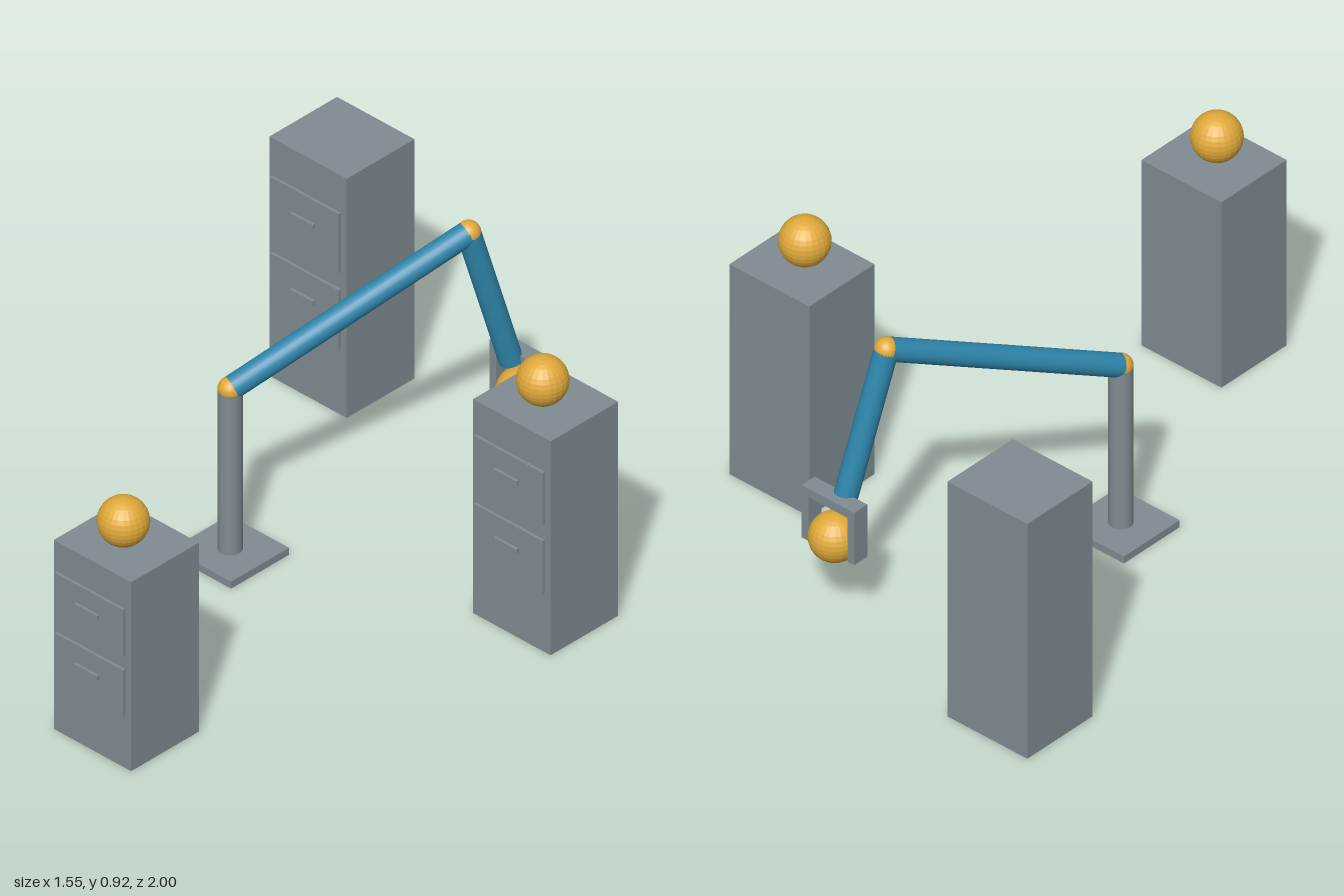
import * as THREE from 'three';

export function createModel() {
  const root = new THREE.Group();
  root.name = 'robotArmWithCabinets';

  const mat = (name, color) => {
    const m = new THREE.MeshStandardMaterial({ color });
    m.name = name;
    return m;
  };
  const gray = mat('steelGray', 0x7f8c92);
  const blue = mat('armBlue', 0x2e86ab);
  const gold = mat('ballGold', 0xe0a93a);
  gold.flatShading = false;

  const add = (parent, name, geo, material, x, y, z) => {
    const mesh = new THREE.Mesh(geo, material);
    mesh.name = name;
    mesh.position.set(x, y, z);
    parent.add(mesh);
    return mesh;
  };
  const box = (parent, name, w, h, d, x, y, z) =>
    add(parent, name, new THREE.BoxGeometry(w, h, d), gray, x, y, z);

  const BALL = 0.0765;
  // faceted ball
  const ball = (parent, name, x, y, z) =>
    add(parent, name, new THREE.SphereGeometry(BALL, 24, 16).toNonIndexed(), gold, x, y, z)
      .geometry.computeVertexNormals();

  // Cabinets: body, two drawer fronts with handles, optional ball on top
  const cabinet = (name, x, front, h, hasBall) => {
    const g = new THREE.Group();
    g.name = name;
    g.position.set(x, 0, front);
    root.add(g);
    box(g, 'cabinetBody', 0.305, h, 0.276, 0, h / 2, -0.138);
    for (const level of [0.727, 0.408]) {
      box(g, 'drawerFront', 0.27, h * 0.247, 0.01, 0, h * level, 0.01);
      box(g, 'drawerHandle', 0.09, 0.014, 0.01, 0, h * (level + 0.024), 0.023);
    }
    if (hasBall) ball(g, 'topBall', 0, h + BALL, -0.126);
  };
  cabinet('tallCabinet', -0.623, -0.724, 0.822, false);
  cabinet('shortCabinet', 0.167, 0.972, 0.649, true);
  cabinet('mediumCabinet', 0.618, -0.271, 0.735, true);

  // Arm: base, post, two links and ball joints
  const R = 0.036;
  const shoulder = new THREE.Vector3(-0.23, 0.573, 0);
  const elbow = new THREE.Vector3(0.028, 0.885, -0.705);
  const grip = new THREE.Vector3(0.084, 0.287, -0.863);
  const wrist = elbow.clone().lerp(grip, 0.8);

  const link = (name, a, b, material) => {
    const dir = b.clone().sub(a);
    const mid = a.clone().add(b).multiplyScalar(0.5);
    const mesh = add(root, name, new THREE.CylinderGeometry(R, R, dir.length(), 24), material, mid.x, mid.y, mid.z);
    mesh.quaternion.setFromUnitVectors(new THREE.Vector3(0, 1, 0), dir.normalize());
  };
  box(root, 'armBase', 0.236, 0.024, 0.236, -0.23, 0.012, 0);
  link('post', new THREE.Vector3(-0.23, 0.02, 0), shoulder, gray);
  link('upperArm', shoulder, elbow, blue);
  link('forearm', elbow, wrist, blue);
  for (const [name, p] of [['shoulderJoint', shoulder], ['elbowJoint', elbow]])
    add(root, name, new THREE.SphereGeometry(R + 0.0005, 24, 16), gold, p.x, p.y, p.z);

  // Gripper: crossbar with a finger on each side of the held ball
  const gripper = new THREE.Group();
  gripper.name = 'gripper';
  gripper.position.copy(grip);
  root.add(gripper);
  box(gripper, 'palmBar', 0.2, 0.03, 0.055, 0, 0.13, 0);
  for (const s of [-1, 1]) box(gripper, 'finger', 0.026, 0.183, 0.055, s * 0.0875, 0.0535, 0);
  ball(gripper, 'heldBall', 0, 0, 0);

  return root;
}
